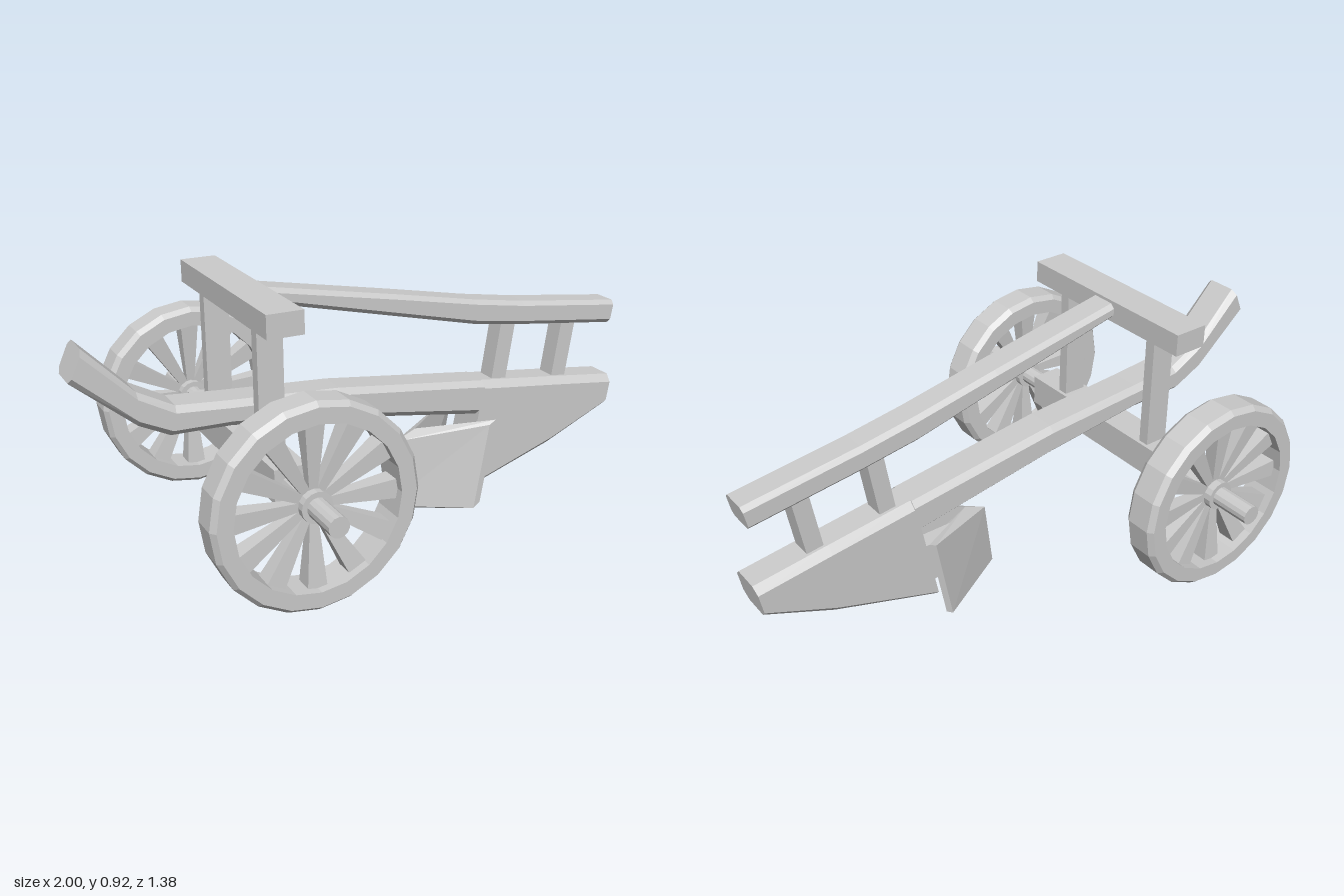
import * as THREE from 'three';

const material = new THREE.MeshStandardMaterial({ color: 0xcccccc, flatShading: true, roughness: 0.8 });

function add(parent, name, geometry, x = 0, y = 0, z = 0) {
  const mesh = new THREE.Mesh(geometry, material);
  mesh.name = name;
  mesh.position.set(x, y, z);
  parent.add(mesh);
  return mesh;
}

// Skins a row of equal-length cross-section loops and caps both ends.
function loft(sections) {
  const pos = [];
  const tri = (...pts) => pts.forEach((p) => pos.push(...p));
  const n = sections[0].length;
  for (let i = 0; i < sections.length - 1; i++) {
    const s = sections[i], t = sections[i + 1];
    for (let j = 0; j < n; j++) {
      const k = (j + 1) % n;
      tri(s[j], s[k], t[j]);
      tri(s[k], t[k], t[j]);
    }
  }
  const first = sections[0], last = sections[sections.length - 1];
  for (let j = 1; j < n - 1; j++) {
    tri(first[0], first[j + 1], first[j]);
    tri(last[0], last[j], last[j + 1]);
  }
  const g = new THREE.BufferGeometry();
  g.setAttribute('position', new THREE.Float32BufferAttribute(pos, 3));
  g.computeVertexNormals();
  return g;
}

// Chamfered timber; each station is [top x, top y, bottom x, bottom y].
function timber(stations, half, chamfer = 0.02) {
  return loft(stations.map(([tx, ty, bx, by]) => {
    const f = chamfer / Math.hypot(tx - bx, ty - by);
    const at = (u, z) => [bx + (tx - bx) * u, by + (ty - by) * u, z];
    const w = half - chamfer;
    return [at(1, w), at(1 - f, half), at(f, half), at(0, w),
      at(0, -w), at(f, -half), at(1 - f, -half), at(1, -w)];
  }));
}

function createWheel() {
  const wheel = new THREE.Group();
  const rim = [[0.265, -0.06], [0.315, -0.06], [0.33, -0.042], [0.33, 0.042], [0.315, 0.06], [0.265, 0.06], [0.265, -0.06]]
    .map(([r, y]) => new THREE.Vector2(r, y));
  add(wheel, 'rim', new THREE.LatheGeometry(rim, 20)).rotation.x = Math.PI / 2;
  add(wheel, 'hub', new THREE.CylinderGeometry(0.05, 0.05, 0.08, 16)).rotation.x = Math.PI / 2;
  // Spokes widen from the hub to the rim
  for (let i = 0; i < 12; i++) {
    const g = new THREE.CylinderGeometry(0.046, 0.018, 0.24, 4);
    g.rotateY(Math.PI / 4);
    g.translate(0, 0.155, 0);
    add(wheel, 'spoke', g).rotation.z = i * Math.PI / 6;
  }
  return wheel;
}

export function createModel() {
  const model = new THREE.Group();
  model.name = 'wheeledPlough';
  const axleX = -0.44, axleY = 0.39;

  // Long beam with upswept nose, and the deep body at its rear
  add(model, 'mainBeam', timber([
    [-0.955, 0.8, -1, 0.7],
    [-0.8, 0.64, -0.8, 0.53],
    [-0.68, 0.575, -0.7, 0.48],
    [-0.5, 0.56, -0.5, 0.475],
    [-0.12, 0.535, -0.12, 0.43],
    [0.44, 0.465, 0.44, 0.34],
  ], 0.07));
  add(model, 'body', timber([
    [0.44, 0.465, 0.36, 0.045],
    [0.74, 0.428, 0.74, 0.17],
    [1, 0.395, 0.98, 0.275],
  ], 0.07, 0.025));

  // Upper handle beam on two leaning posts
  add(model, 'handleBeam', timber([
    [-0.4, 0.913, -0.4, 0.862],
    [0.1, 0.82, 0.1, 0.745],
    [0.4, 0.762, 0.4, 0.675],
    [0.6, 0.73, 0.6, 0.645],
    [1, 0.68, 0.985, 0.597],
  ], 0.055, 0.015));
  for (const [x, top, bottom] of [[0.52, 0.69, 0.43], [0.78, 0.65, 0.39]]) {
    const ring = (px) => [[px + 0.005, top, -0.035], [px + 0.005, top, 0.035],
      [px - 0.035, bottom, 0.035], [px - 0.035, bottom, -0.035]];
    add(model, 'handlePost', loft([ring(x), ring(x + 0.06)]));
  }

  // Front frame
  add(model, 'axleBlock', new THREE.BoxGeometry(0.11, 0.11, 0.74), axleX, axleY);
  add(model, 'crossbar', new THREE.BoxGeometry(0.12, 0.075, 0.71), axleX, 0.882);
  add(model, 'axle', new THREE.CylinderGeometry(0.033, 0.033, 1.375, 14), axleX, axleY).rotation.x = Math.PI / 2;

  // Paired parts
  const share = [
    [[0.2, 0.31, 0], [0.12, 0.275, 0], [0.09, 0.035, 0], [0.2, 0.002, 0]],
    [[0.44, 0.35, 0.145], [0.415, 0.335, 0.145], [0.36, 0.027, 0.145], [0.385, 0.045, 0.145]],
  ];
  for (const [side, label] of [[1, 'left'], [-1, 'right']]) {
    const front = side > 0 ? 'near' : 'far';
    add(model, front + 'Upright', new THREE.BoxGeometry(0.085, 0.42, 0.038), axleX, 0.645, side * 0.218);

    const wheel = createWheel();
    wheel.name = front + 'Wheel';
    wheel.position.set(axleX, axleY, side * 0.51);
    model.add(wheel);

    const wing = share.map((s) => {
      const loop = s.map(([x, y, z]) => [x, y, z * side]);
      return side > 0 ? loop : loop.reverse();
    });
    add(model, front + 'ShareWing', loft(wing));
  }
  add(model, 'shareBracket', new THREE.BoxGeometry(0.24, 0.15, 0.06), 0.3, 0.17);
  return model;
}
